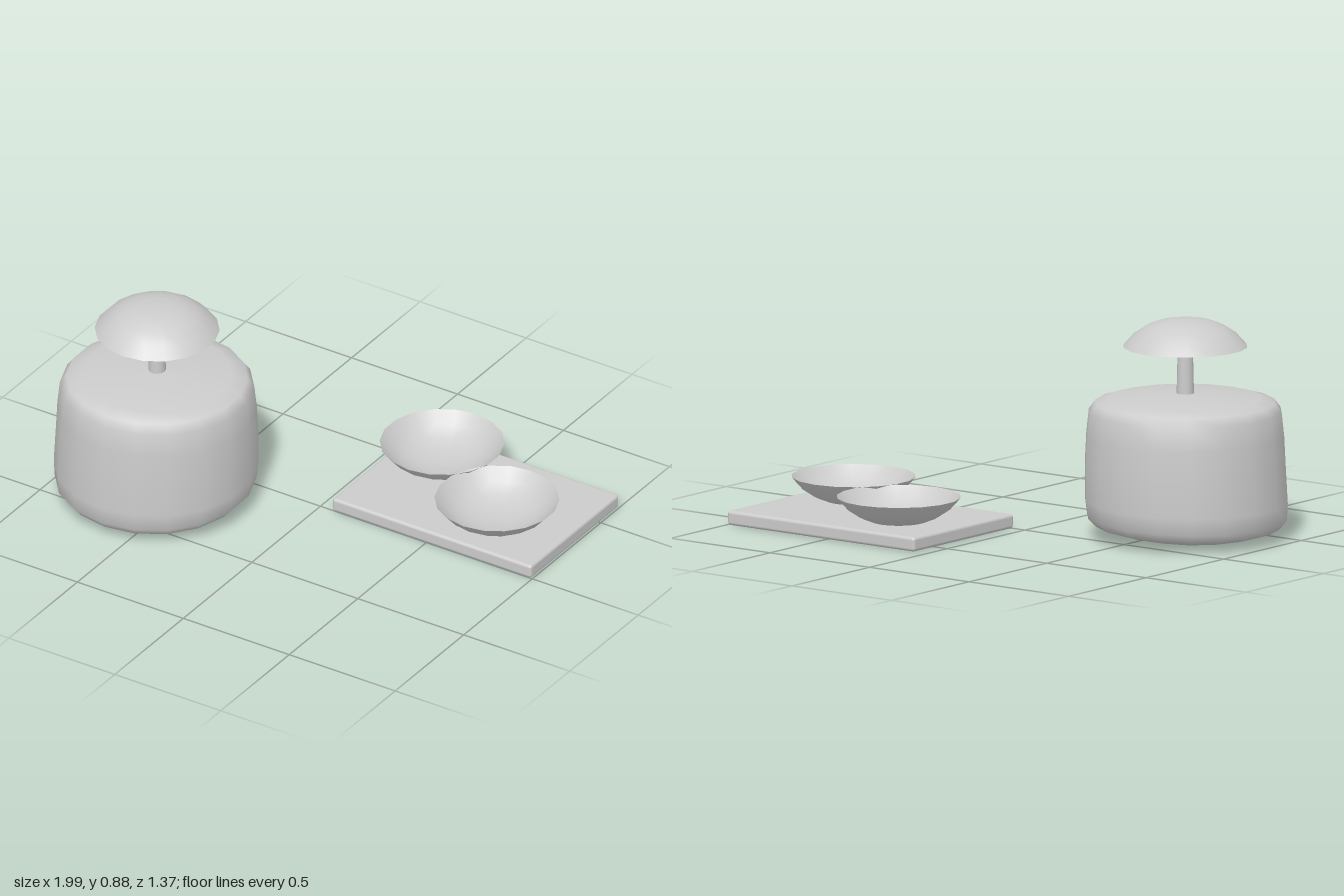
import * as THREE from 'three';
import { RoundedBoxGeometry } from 'three/addons/geometries/RoundedBoxGeometry.js';

const material = new THREE.MeshStandardMaterial({ color: 0xcccccc });
const thin = new THREE.MeshStandardMaterial({ color: 0xcccccc, side: THREE.DoubleSide });

const lathe = (points, sides) =>
  new THREE.LatheGeometry(points.map(([r, y]) => new THREE.Vector2(r, y)), sides);

function add(parent, name, geometry, mat, x, y, z) {
  const mesh = new THREE.Mesh(geometry, mat);
  mesh.name = name;
  mesh.position.set(x, y, z);
  parent.add(mesh);
  return mesh;
}

// Soft drum: rounded profile whose lower edge lifts a little toward +x and -z
function drumGeometry() {
  const geometry = lathe([
    [0, 0.012], [0.18, 0.016], [0.31, 0.028], [0.37, 0.045], [0.4, 0.08],
    [0.406, 0.15], [0.402, 0.3], [0.396, 0.42], [0.386, 0.515], [0.36, 0.55],
    [0.3, 0.567], [0.15, 0.58], [0, 0.587],
  ], 18);
  const p = geometry.attributes.position;
  for (let i = 0; i < p.count; i++) {
    const x = p.getX(i), y = p.getY(i), z = p.getZ(i);
    const low = Math.max(0, 1 - y / 0.3);
    const lift = Math.max(0, x - z) * 0.035 * low;
    p.setXYZ(i, x - 0.006 * low, y + lift, z + 0.006 * low);
  }
  geometry.computeVertexNormals();
  // Reuse the first column's normals at the lathe seam
  const n = geometry.attributes.normal, rows = 13, last = p.count - rows;
  for (let j = 0; j < rows; j++) {
    const v = new THREE.Vector3(n.getX(j) + n.getX(last + j), n.getY(j) + n.getY(last + j),
      n.getZ(j) + n.getZ(last + j)).normalize();
    n.setXYZ(j, v.x, v.y, v.z);
    n.setXYZ(last + j, v.x, v.y, v.z);
  }
  return geometry;
}

export function createModel() {
  const model = new THREE.Group();
  model.name = 'drumAndBowls';

  // Drum with stem and cap
  const drum = new THREE.Group();
  drum.name = 'mushroomDrum';
  drum.position.set(-0.594, 0, 0.273);
  model.add(drum);
  add(drum, 'drumBody', drumGeometry(), material, 0, 0, 0);
  add(drum, 'stem', new THREE.CylinderGeometry(0.029, 0.035, 0.25, 12), material, 0, 0.705, 0);

  // One shallow dish shape serves as both the bowls and the upturned cap
  const dish = lathe([
    [0, 0], [0.06, 0.003], [0.11, 0.012], [0.16, 0.032], [0.205, 0.062], [0.248, 0.11],
  ], 18);
  const cap = add(drum, 'cap', dish, thin, 0, 0.885, 0);
  cap.rotation.x = Math.PI;

  // Tray with two bowls
  const tray = new THREE.Group();
  tray.name = 'trayWithBowls';
  model.add(tray);
  add(tray, 'tray', new RoundedBoxGeometry(0.94, 0.058, 0.646, 3, 0.013), material, 0.527, 0.033, -0.318);
  for (const [name, x, z] of [['rightBowl', 0.29, -0.44], ['leftBowl', 0.702, -0.203]]) {
    add(tray, name, dish, thin, x, 0.062, z);
  }
  return model;
}
